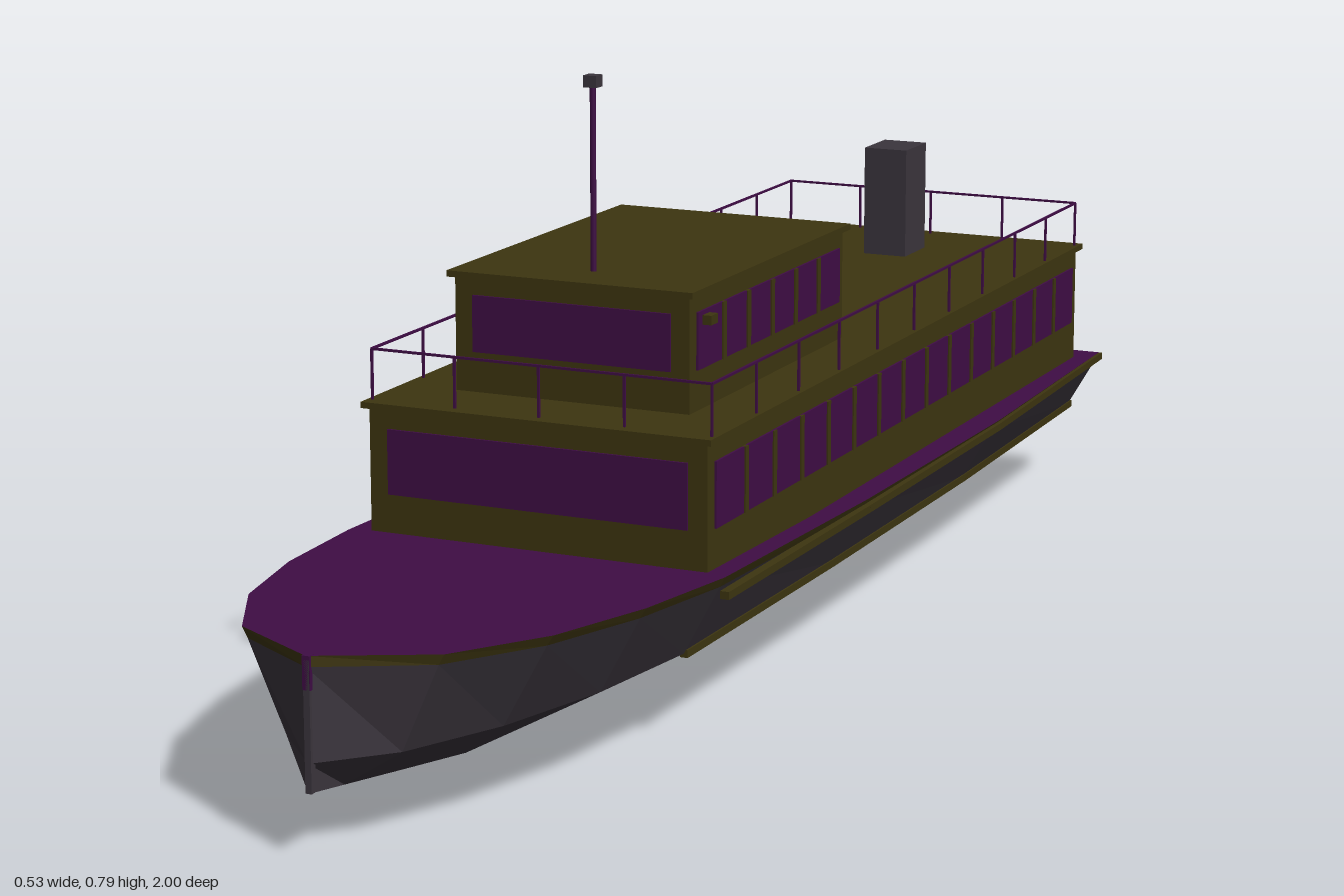
import * as THREE from 'three';

const material = (name, color, side = THREE.FrontSide) => {
  const m = new THREE.MeshStandardMaterial({ color, side });
  m.name = name;
  return m;
};

export function createModel() {
  const olive = material('olive paint', 0x3d3510);
  const purple = material('dark purple', 0x3f0d45);
  const grey = material('hull grey', 0x3b353d);
  const model = new THREE.Group();

  const add = (name, geometry, mat, parent = model) => {
    const mesh = new THREE.Mesh(geometry, mat);
    mesh.name = name;
    parent.add(mesh);
    return mesh;
  };
  const group = (name) => {
    const g = new THREE.Group();
    g.name = name;
    model.add(g);
    return g;
  };
  // Box given by its limits on each axis
  const box = (name, mat, x0, x1, y0, y1, z0, z1, parent) => {
    const mesh = add(name, new THREE.BoxGeometry(x1 - x0, y1 - y0, z1 - z0), mat, parent);
    mesh.position.set((x0 + x1) / 2, (y0 + y1) / 2, (z0 + z1) / 2);
    return mesh;
  };
  // Square bar between two points
  const bar = (name, mat, a, b, width, height, parent) => {
    const mesh = add(name, new THREE.BoxGeometry(width, height, a.distanceTo(b)), mat, parent);
    mesh.position.copy(a).add(b).multiplyScalar(0.5);
    mesh.lookAt(b);
  };
  // Flat-shaded ribbon between two rows of points
  const ribbon = (a, b) => {
    const pos = [];
    for (let i = 0; i + 1 < a.length; i++) {
      for (const p of [a[i], b[i], b[i + 1], a[i], b[i + 1], a[i + 1]]) pos.push(p.x, p.y, p.z);
    }
    const g = new THREE.BufferGeometry();
    g.setAttribute('position', new THREE.Float32BufferAttribute(pos, 3));
    g.computeVertexNormals();
    return g;
  };
  const V = (x, y, z) => new THREE.Vector3(x, y, z);

  // Hull stations, bow to stern: z, deck half-width, deck height, chine half-width, keel height
  const stations = [
    [1, 0, 0.24, 0, 0.08],
    [0.92, 0.13, 0.236, 0.075, 0.066],
    [0.79, 0.2, 0.231, 0.135, 0.043],
    [0.63, 0.24, 0.225, 0.18, 0.015],
    [0.45, 0.26, 0.218, 0.205, 0],
    [0, 0.262, 0.207, 0.21, 0],
    [-0.5, 0.26, 0.202, 0.208, 0],
    [-1, 0.243, 0.2, 0.195, 0],
  ];
  const chineY = 0.115;
  const row = (s, kind) => stations.map(([z, w, y, cw, k]) => ({
    deck: V(s * w, y, z),
    band: V(s * (w - (w - cw) * 0.13), y - 0.013, z),
    chine: V(s * cw, chineY, z),
    keel: V(0, k, z),
  }[kind]));

  const hull = group('hull');
  for (const s of [1, -1]) {
    const skin = (name, top, bottom, mat) => {
      const a = row(s, top), b = row(s, bottom);
      add(name, s > 0 ? ribbon(a, b) : ribbon(b, a), mat, hull);
    };
    skin('gunwaleBand', 'deck', 'band', olive);
    skin('hullSide', 'band', 'chine', grey);
    skin('hullBottom', 'chine', 'keel', grey);

    // Rub rails along the parallel body
    for (let i = 4; i < stations.length - 1; i++) {
      const [z, w, , cw] = stations[i], [z2, w2, , cw2] = stations[i + 1];
      bar('rubRail', olive, V(s * (w - 0.001), 0.195, z), V(s * (w2 - 0.001), 0.195, z2), 0.012, 0.01, hull);
      bar('chineRail', olive, V(s * cw, chineY, z), V(s * cw2, chineY, z2), 0.01, 0.01, hull);
    }
  }
  add('deck', ribbon(row(-1, 'deck'), row(1, 'deck')), purple, hull);
  const sternEdge = (s) => ['deck', 'band', 'chine', 'keel'].map((k) => row(s, k).at(-1));
  add('transom', ribbon(sternEdge(-1), sternEdge(1)), grey, hull);
  box('stem', grey, -0.004, 0.004, 0.08, 0.235, 0.99, 1, hull);
  box('bowFitting', purple, -0.005, 0.005, 0.2, 0.24, 0.99, 1, hull);
  box('sternLight', purple, -0.006, 0.006, 0.224, 0.236, -1, -0.99, hull);

  // House with a roof slab, end windows and side window bands; dividers on the left side
  const house = (name, { w, y0, y1, front, back, roof, winW, winY0, winY1, winFront, winBack, panes }) => {
    const g = group(name), t = 0.003;
    box('walls', olive, -w, w, y0, y1, back, front, g);
    box('roof', olive, -w - 0.008, w + 0.008, y1, roof, back - 0.008, front + 0.008, g);
    box('frontWindow', purple, -winW, winW, winY0, winY1, front, front + t, g);
    box('backWindow', purple, -winW, winW, winY0, winY1, back - t, back, g);
    box('leftWindows', purple, w, w + t, winY0, winY1, winBack, winFront, g);
    box('rightWindows', purple, -w - t, -w, winY0, winY1, winBack, winFront, g);
    for (let i = 1; i < panes; i++) {
      const z = winFront + (winBack - winFront) * i / panes;
      box('windowDivider', olive, w, w + 0.005, winY0, winY1, z - 0.005, z + 0.005, g);
    }
  };
  house('mainCabin', {
    w: 0.232, y0: 0.21, y1: 0.377, front: 0.44, back: -0.91, roof: 0.385,
    winW: 0.206, winY0: 0.268, winY1: 0.352, winFront: 0.42, winBack: -0.89, panes: 15,
  });
  house('wheelhouse', {
    w: 0.162, y0: 0.385, y1: 0.532, front: 0.34, back: -0.15, roof: 0.54,
    winW: 0.137, winY0: 0.437, winY1: 0.51, winFront: 0.32, winBack: -0.135, panes: 6,
  });
  for (const s of [1, -1]) {
    const light = box('sideLight', olive, -0.006, 0.006, 0.493, 0.505, 0.29, 0.31);
    light.position.x = s * 0.172;
  }

  // Railing around the cabin roof
  const railing = group('railing');
  const rx = 0.233, ry = 0.45, zf = 0.43, zb = -0.9, r = 0.003;
  const post = (x, z) => box('railPost', purple, x - r / 2, x + r / 2, 0.385, ry, z - r / 2, z + r / 2, railing);
  for (const s of [1, -1]) {
    bar('sideRail', purple, V(s * rx, ry, zf), V(s * rx, ry, zb), r, r, railing);
    for (let i = 0; i <= 10; i++) post(s * rx, zf + (zb - zf) * i / 10);
  }
  for (const z of [zf, zb]) {
    bar('endRail', purple, V(-rx, ry, z), V(rx, ry, z), r, r, railing);
    for (const x of [-rx / 2, 0, rx / 2]) post(x, z);
  }

  // Funnel and mast
  box('funnel', grey, -0.033, 0.033, 0.385, 0.545, -0.79, -0.71);
  const mast = add('mast', new THREE.CylinderGeometry(0.004, 0.004, 0.236, 8), purple);
  mast.position.set(0, 0.658, 0.275);
  box('mastLight', grey, -0.009, 0.009, 0.773, 0.788, 0.266, 0.284);

  return model;
}
